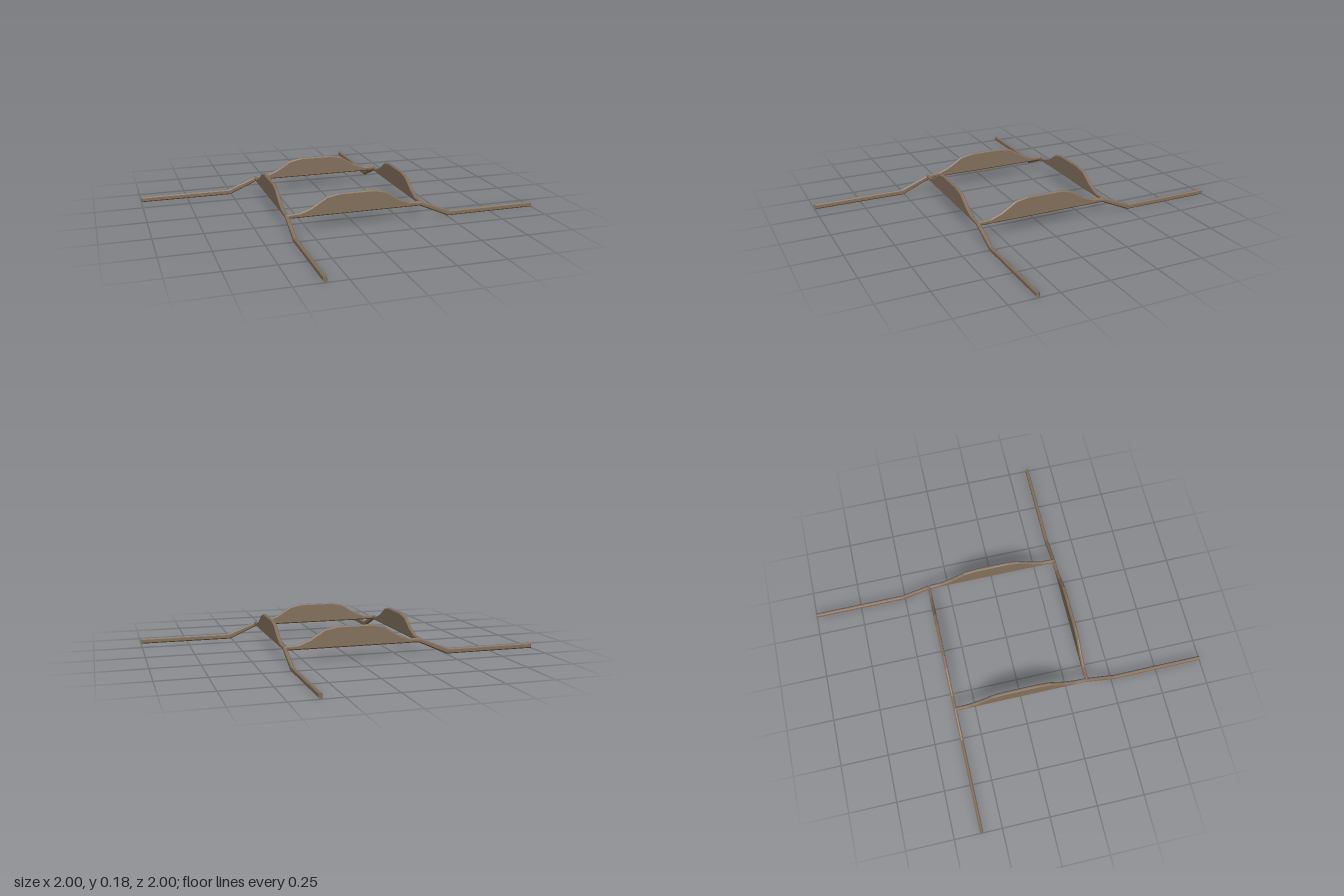
import * as THREE from 'three';

const OFFSET = 0.357;   // distance of each blade from the centre
const WIDTH = 0.018;    // full blade thickness
const BEVEL = 0.006;

export function createModel() {
  const group = new THREE.Group();
  group.name = 'interlockedFrame';
  const brown = new THREE.MeshStandardMaterial({ color: 0x84715e });
  brown.name = 'weathered brown';

  // Side outline of one blade: straight lower edge, humped crest, long low arm
  const outline = [
    [-0.362, 0.07], [0.345, 0.07], [0.505, 0], [1, 0],
    [1, 0.028], [0.515, 0.028], [0.355, 0.091], [0.29, 0.095],
    [0.23, 0.118], [0.155, 0.165], [0.09, 0.178], [-0.09, 0.178],
    [-0.155, 0.165], [-0.23, 0.118], [-0.29, 0.095], [-0.362, 0.091],
  ];
  const shape = new THREE.Shape(outline.map(([x, y]) => new THREE.Vector2(x, y)));

  // Chamfered edges, kept inside the outline
  const geometry = new THREE.ExtrudeGeometry(shape, {
    depth: WIDTH - 2 * BEVEL,
    bevelEnabled: true,
    bevelThickness: BEVEL,
    bevelSize: BEVEL,
    bevelOffset: -BEVEL,
    bevelSegments: 1,
  });
  geometry.translate(0, 0, OFFSET - WIDTH / 2 + BEVEL);

  // Four blades, each a quarter turn from the last
  ['front', 'right', 'back', 'left'].forEach((side, i) => {
    const blade = new THREE.Mesh(geometry, brown);
    blade.name = side + 'Blade';
    blade.rotation.y = -i * Math.PI / 2;
    group.add(blade);
  });
  return group;
}
